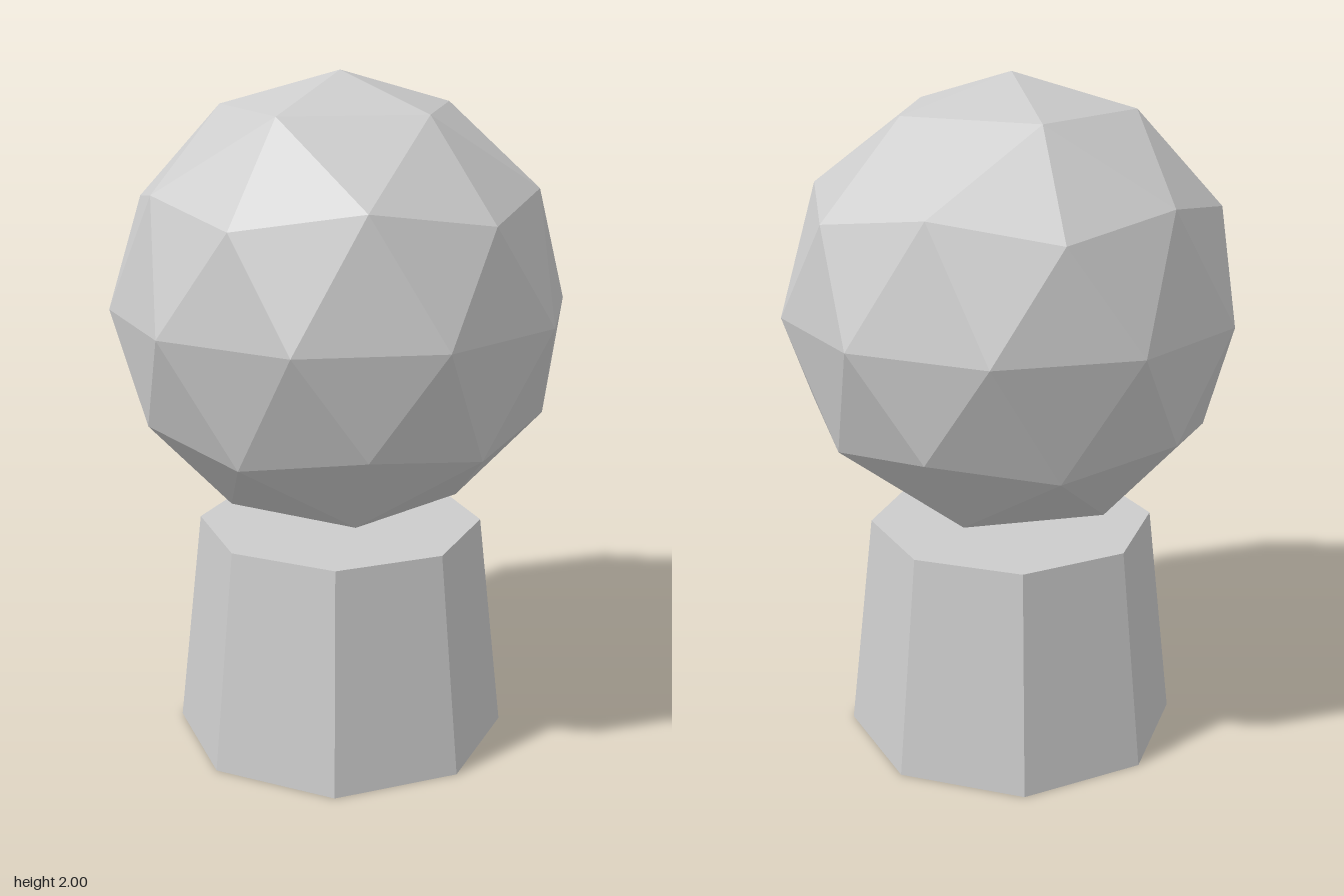
import * as THREE from 'three';

export function createModel() {
  const model = new THREE.Group();
  const stone = new THREE.MeshStandardMaterial({ color: 0xcccccc, flatShading: true });
  stone.name = 'stone grey';

  const baseHeight = 2 / 3;
  const ballRadius = 2 / 3;

  // Tapered eight-sided pedestal, corners on the axes
  const pedestal = new THREE.Mesh(
    new THREE.CylinderGeometry(0.425, 0.5, baseHeight, 8), stone);
  pedestal.name = 'pedestal';
  pedestal.position.y = baseHeight / 2;

  // Faceted ball, turned so that a vertex points up and one rests on the pedestal
  const ballGeometry = new THREE.IcosahedronGeometry(ballRadius, 1);
  ballGeometry.rotateZ(-Math.atan(2) / 2);
  const ball = new THREE.Mesh(ballGeometry, stone);
  ball.name = 'ball';
  ball.position.y = baseHeight + ballRadius;

  model.add(pedestal, ball);
  return model;
}
